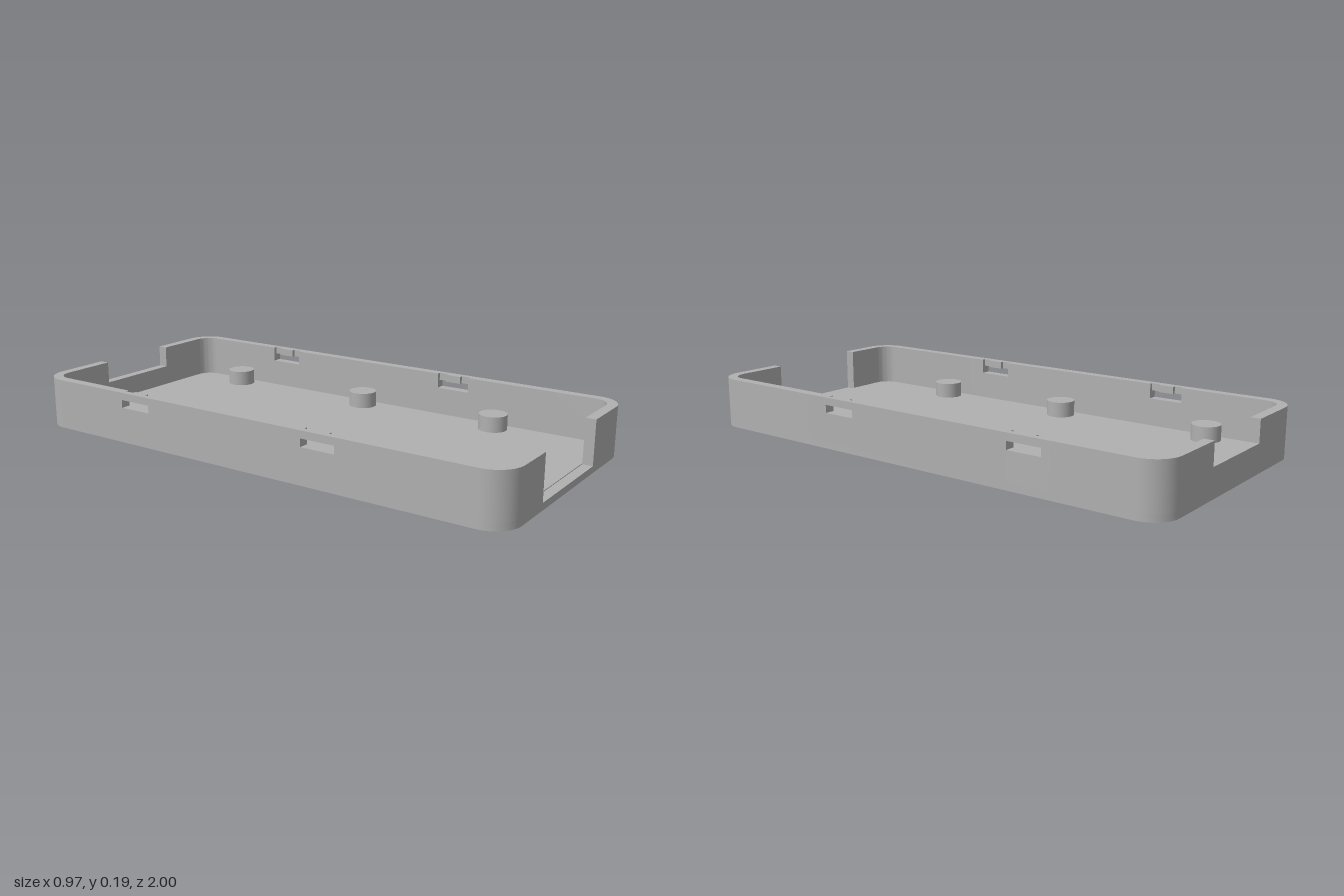
import * as THREE from 'three';
import { toCreasedNormals } from 'three/addons/utils/BufferGeometryUtils.js';

// outer half sizes, inner half sizes, corner radii
const X = 0.484, Z = 1, XI = 0.446, ZI = 0.962, R = 0.1, RI = 0.062;
const LEDGE = 0.026, FLOOR = 0.029, TOP = 0.193;
const SLOT_Y = [0.135, 0.165], SLOT_BACK = 0.46, PRONG = 0.036;
const SLOTS = [[0.252, 0.386], [-0.567, -0.433]];

// quarter of a rounded rectangle, from its end side to its long side
function quarter(x, z, r) {
  const pts = [];
  for (let i = 0; i <= 12; i++) {
    const a = (Math.PI / 2) * (1 - i / 12);
    pts.push([x - r + r * Math.cos(a), z - r + r * Math.sin(a)]);
  }
  return pts;
}

function roundedPlan(x, z, r) {
  const q = quarter(x, z, r), rev = [...q].reverse();
  return [
    ...q,
    ...rev.map(([a, b]) => [a, -b]),
    ...q.map(([a, b]) => [-a, -b]),
    ...rev.map(([a, b]) => [-a, b]),
  ];
}

export function createModel() {
  const model = new THREE.Group();
  const grey = new THREE.MeshStandardMaterial({ color: 0xb0b0b0 });
  grey.name = 'grey plastic';

  function add(name, geo) {
    const mesh = new THREE.Mesh(geo, grey);
    mesh.name = name;
    model.add(mesh);
  }
  // plan outline in x, z raised from y0 to y1
  function slab(name, plan, y0, y1) {
    const shape = new THREE.Shape(plan.map(([x, z]) => new THREE.Vector2(x, z)));
    const geo = new THREE.ExtrudeGeometry(shape, { depth: y1 - y0, bevelEnabled: false });
    geo.rotateX(Math.PI / 2).translate(0, y1, 0);
    add(name, toCreasedNormals(geo, 0.5));
  }
  function block(name, x0, x1, y0, y1, z0, z1) {
    const geo = new THREE.BoxGeometry(Math.abs(x1 - x0), y1 - y0, z1 - z0);
    geo.translate((x0 + x1) / 2, (y0 + y1) / 2, (z0 + z1) / 2);
    add(name, geo);
  }

  // base plate and the slightly raised inner floor
  slab('base', roundedPlan(X, Z, R), 0, LEDGE);
  slab('floor', roundedPlan(XI, ZI, RI), LEDGE, FLOOR);

  // corner walls, ending at the end openings and at the side slots
  function cornerWall(name, s, t, xEnd, zEnd) {
    const plan = [
      [xEnd, Z], ...quarter(X, Z, R), [X, zEnd],
      [XI, zEnd], ...quarter(XI, ZI, RI).reverse(), [xEnd, ZI],
    ];
    slab(name, plan.map(([x, z]) => [s * x, t * z]), LEDGE, TOP);
  }

  for (const s of [1, -1]) {
    const side = s > 0 ? 'left' : 'right';
    cornerWall(side + 'FrontCornerWall', s, 1, s > 0 ? 0.19 : 0.233, SLOTS[0][1]);
    cornerWall(side + 'BackCornerWall', s, -1, 0.173, -SLOTS[1][0]);
    block(side + 'MiddleWall', s * XI, s * X, LEDGE, TOP, SLOTS[1][1], SLOTS[0][0]);

    // wall below and above each clip slot, with two grooves up to the rim
    for (const [z0, z1] of SLOTS) {
      block(side + 'SlotSill', s * XI, s * X, LEDGE, SLOT_Y[0], z0, z1);
      block(side + 'SlotLintel', s * SLOT_BACK, s * X, SLOT_Y[1], TOP, z0, z1);
      block(side + 'SlotTongue', s * XI, s * SLOT_BACK, SLOT_Y[1], TOP, z0 + PRONG, z1 - PRONG);
    }

    // support posts
    for (const z of [-0.705, -0.062, 0.528]) {
      const post = new THREE.CylinderGeometry(0.055, 0.055, 0.06, 40);
      post.translate(s * 0.383, FLOOR + 0.03, z);
      add(side + 'Post', post);
    }
  }

  // low wall under the back opening
  block('backSill', -0.173, 0.173, LEDGE, 0.108, -Z, -ZI);

  return model;
}
